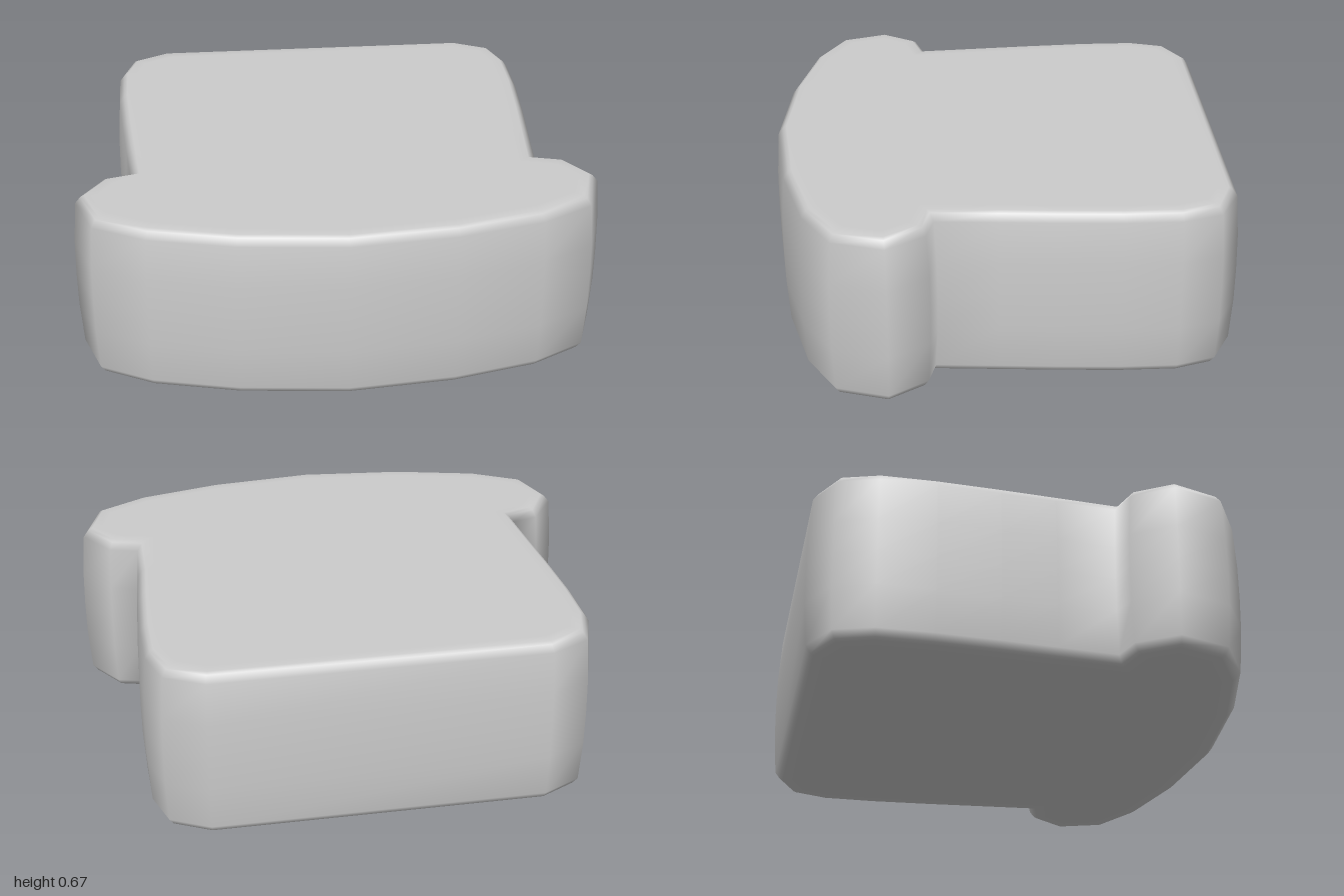
import * as THREE from 'three';

// Right half of the T-shaped plan as [x, z], from the back edge to the front tip
const half = [
  [0.635, -0.87], [0.79, -0.79], [0.84, -0.635], [0.84, -0.42], [0.826, -0.18], [0.81, 0.03],
  [0.793, 0.252], [0.895, 0.28], [0.998, 0.435], [0.93, 0.64], [0.73, 0.75], [0.405, 0.83], [0, 0.87],
];

// Edge profile as [y, inset]: rounded rims and gently bulging sides
const HEIGHT = 0.67;
const lower = [[0, 0.045], [0.008, 0.032], [0.035, 0.013], [0.2, 0.002]];
const profile = [...lower, [HEIGHT / 2, 0], ...lower.map(([y, d]) => [HEIGHT - y, d]).reverse()];

// Move every outline point inward by d along its mitre
function inset(points, d) {
  const n = points.length;
  const normal = (a, b) => new THREE.Vector2(b.y - a.y, a.x - b.x).normalize();
  return points.map((p, i) => {
    const n1 = normal(points[(i + n - 1) % n], p);
    const n2 = normal(p, points[(i + 1) % n]);
    return p.clone().addScaledVector(n1.clone().add(n2), -d / (1 + n1.dot(n2)));
  });
}

function cushionGeometry() {
  const mirrored = half.slice(0, -1).reverse().map(([x, z]) => [-x, z]);
  const outline = [...half, ...mirrored].map(([x, z]) => new THREE.Vector2(x, z));
  const n = outline.length;
  const positions = [];
  const index = [];

  // Flat margins just inside both rims keep the caps evenly shaded
  const rings = [[0, 0.085], ...profile, [HEIGHT, 0.085]];
  rings.forEach(([y, d]) => inset(outline, d).forEach((p) => positions.push(p.x, y, p.y)));
  for (let j = 0; j < rings.length - 1; j++) {
    for (let i = 0; i < n; i++) {
      const a = j * n + i, b = j * n + ((i + 1) % n);
      index.push(a, a + n, b, b, a + n, b + n);
    }
  }

  // Bottom and top faces
  const top = (rings.length - 1) * n;
  for (const [a, b, c] of THREE.ShapeUtils.triangulateShape(inset(outline, 0.085), [])) {
    index.push(a, b, c, top + a, top + c, top + b);
  }

  const geometry = new THREE.BufferGeometry();
  geometry.setAttribute('position', new THREE.Float32BufferAttribute(positions, 3));
  geometry.setIndex(index);
  geometry.computeVertexNormals();
  return geometry;
}

export function createModel() {
  const group = new THREE.Group();
  group.name = 'seatCushion';
  const cushion = new THREE.Mesh(cushionGeometry(), new THREE.MeshStandardMaterial({ color: 0xcccccc }));
  cushion.name = 'cushion';
  group.add(cushion);
  return group;
}
